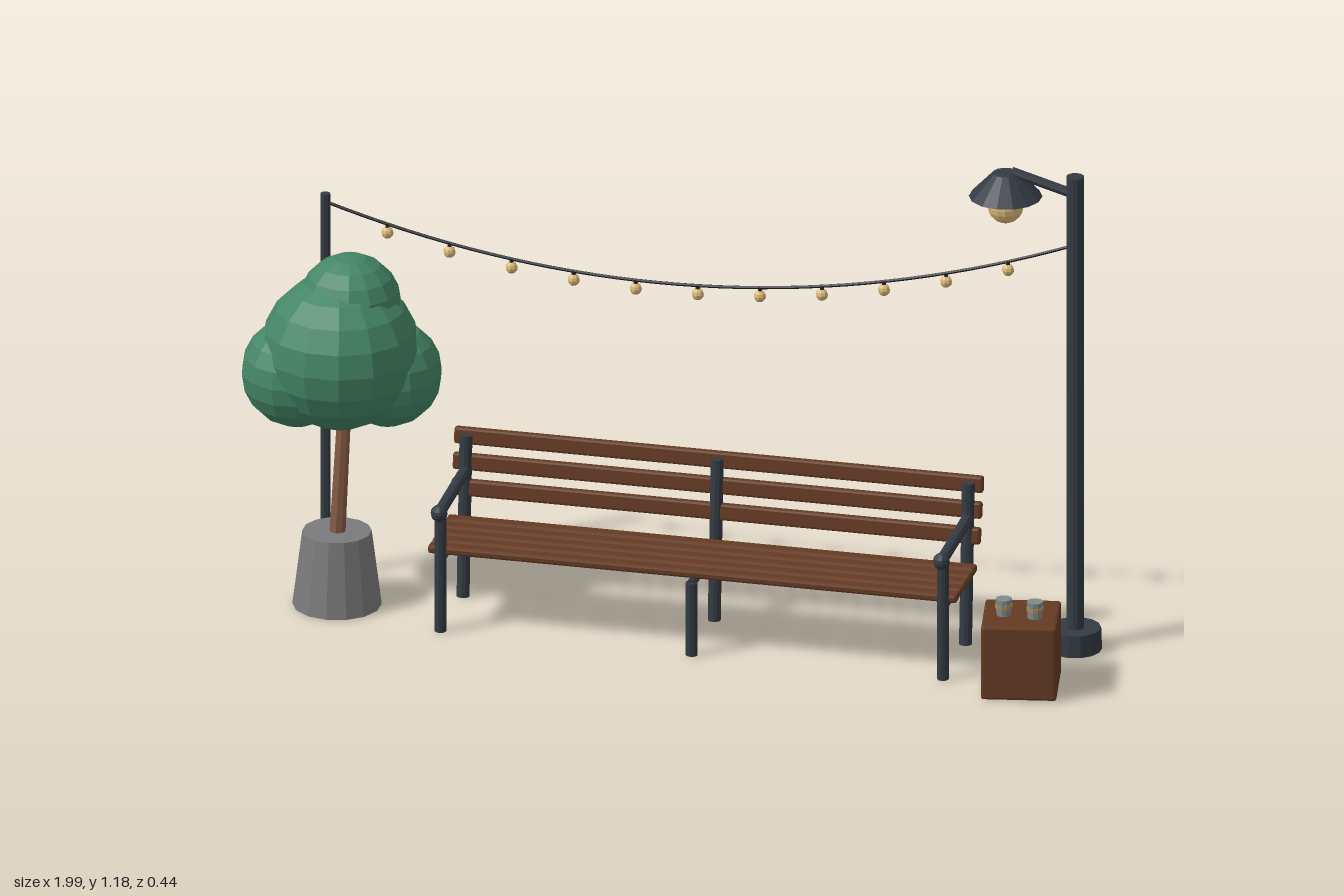
import * as THREE from 'three';
import { RoundedBoxGeometry } from 'three/addons/geometries/RoundedBoxGeometry.js';

const material = (name, color) => {
  const m = new THREE.MeshStandardMaterial({ color, flatShading: true });
  m.name = name;
  return m;
};

export function createModel() {
  const metal = material('dark metal', 0x333b43);
  const wood = material('brown wood', 0x653b22);
  const bark = material('bark', 0x875d45);
  const leaf = material('leaf green', 0x448667);
  const concrete = material('concrete', 0x7b7b7d);
  const glow = material('warm bulb', 0xdcba78);
  const cupGrey = material('cup grey', 0x7f8c88);
  const cupTan = material('cup tan', 0xa8895c);
  const cord = material('black cord', 0x1e2226);

  const model = new THREE.Group();
  model.name = 'parkBenchCorner';

  const group = (name) => {
    const g = new THREE.Group();
    g.name = name;
    model.add(g);
    return g;
  };
  const add = (parent, name, geometry, mat, x = 0, y = 0, z = 0) => {
    const mesh = new THREE.Mesh(geometry, mat);
    mesh.name = name;
    mesh.position.set(x, y, z);
    parent.add(mesh);
    return mesh;
  };
  // Round bar between two points
  const bar = (parent, name, a, b, r0, r1, mat, sides = 10) => {
    const from = new THREE.Vector3(...a);
    const to = new THREE.Vector3(...b);
    const dir = to.clone().sub(from);
    const mesh = add(parent, name, new THREE.CylinderGeometry(r1, r0, dir.length(), sides), mat);
    mesh.position.copy(from).add(to).multiplyScalar(0.5);
    mesh.quaternion.setFromUnitVectors(new THREE.Vector3(0, 1, 0), dir.normalize());
    return mesh;
  };

  // Bench: slats
  const bench = group('bench');
  const mid = 0.09;
  const length = 1.255;
  for (let i = 0; i < 5; i++) {
    add(bench, 'seatSlat', new RoundedBoxGeometry(length, 0.02, 0.035, 1, 0.006), wood, mid, 0.198, 0.096 - i * 0.042);
  }
  for (let i = 0; i < 3; i++) {
    const slat = add(bench, 'backSlat', new RoundedBoxGeometry(length, 0.04, 0.02, 1, 0.006), wood,
      mid, 0.264 + i * 0.059, -0.12 - i * 0.013);
    slat.rotation.x = -0.12;
  }
  // Bench: three frames, armrests on the outer two
  for (const side of [-1, 0, 1]) {
    const x = mid + side * 0.596;
    const legTop = side === 0 ? 0.18 : 0.295;
    bar(bench, 'rearUpright', [x, 0, -0.1], [x, 0.39, -0.128], 0.015, 0.015, metal);
    bar(bench, 'frontLeg', [x, 0, 0.115], [x, legTop, 0.115], 0.014, 0.014, metal);
    bar(bench, 'seatRail', [x, 0.178, 0.118], [x, 0.178, -0.112], 0.011, 0.011, metal);
    if (side !== 0) {
      bar(bench, 'armrest', [x, 0.298, 0.13], [x, 0.305, -0.12], 0.014, 0.014, metal);
      add(bench, 'armrestKnob', new THREE.SphereGeometry(0.02, 10, 8), metal, x, 0.298, 0.128);
    }
  }

  // Street lamp
  const lamp = group('streetLamp');
  const postX = 0.937;
  const backZ = -0.137;
  const headX = 0.772;
  add(lamp, 'lampBase', new THREE.CylinderGeometry(0.06, 0.062, 0.053, 14), metal, postX, 0.0265, backZ);
  add(lamp, 'lampPost', new THREE.CylinderGeometry(0.021, 0.021, 1.175, 12), metal, postX, 0.5875, backZ);
  bar(lamp, 'lampArm', [postX, 1.13, backZ], [headX + 0.015, 1.172, backZ], 0.012, 0.012, metal, 8);
  add(lamp, 'lampShade', new THREE.CylinderGeometry(0.03, 0.085, 0.058, 14), metal, headX, 1.139, backZ);
  add(lamp, 'lampBulb', new THREE.SphereGeometry(0.042, 14, 10), glow, headX, 1.087, backZ);

  // String lights hanging from a thin pole to the lamp post
  const lights = group('stringLights');
  const poleX = -0.842;
  add(lights, 'thinPole', new THREE.CylinderGeometry(0.012, 0.012, 0.955, 8), metal, poleX, 0.4775, backZ);
  const curve = new THREE.QuadraticBezierCurve3(
    new THREE.Vector3(poleX, 0.935, backZ),
    new THREE.Vector3(0.042, 0.66, backZ),
    new THREE.Vector3(0.925, 1.0, backZ));
  add(lights, 'cord', new THREE.TubeGeometry(curve, 36, 0.004, 5), cord);
  for (let i = 1; i < 12; i++) {
    const p = curve.getPoint(i / 12);
    add(lights, 'bulbSocket', new THREE.CylinderGeometry(0.005, 0.005, 0.014, 6), cord, p.x, p.y - 0.006, p.z);
    add(lights, 'smallBulb', new THREE.SphereGeometry(0.0145, 8, 6), glow, p.x, p.y - 0.021, p.z);
  }

  // Potted tree
  const tree = group('pottedTree');
  add(tree, 'pot', new THREE.CylinderGeometry(0.08, 0.103, 0.182, 14), concrete, -0.777, 0.091, 0.012);
  bar(tree, 'trunk', [-0.776, 0.17, 0.013], [-0.757, 0.52, 0.015], 0.019, 0.016, bark, 8);
  const blobs = [
    [-0.77, 0.63, 0.01, 0.185],
    [-0.752, 0.74, -0.01, 0.12],
    [-0.867, 0.577, 0.03, 0.13],
    [-0.67, 0.566, -0.04, 0.127],
  ];
  for (const [x, y, z, r] of blobs) {
    add(tree, 'foliage', new THREE.SphereGeometry(r, 14, 10), leaf, x, y, z);
  }

  // Wooden cube table, turned a little, with two cups
  const table = group('sideTable');
  table.position.set(0.872, 0, 0.118);
  table.rotation.y = 0.18;
  add(table, 'cube', new RoundedBoxGeometry(0.174, 0.182, 0.174, 1, 0.006), wood, 0, 0.091, 0);
  const cups = group('cups');
  for (const x of [0.835, 0.909]) {
    add(cups, 'cup', new THREE.CylinderGeometry(0.019, 0.017, 0.04, 10), cupGrey, x, 0.202, 0.133);
    add(cups, 'cupBand', new THREE.CylinderGeometry(0.02, 0.02, 0.009, 10), cupTan, x, 0.204, 0.133);
  }

  return model;
}
